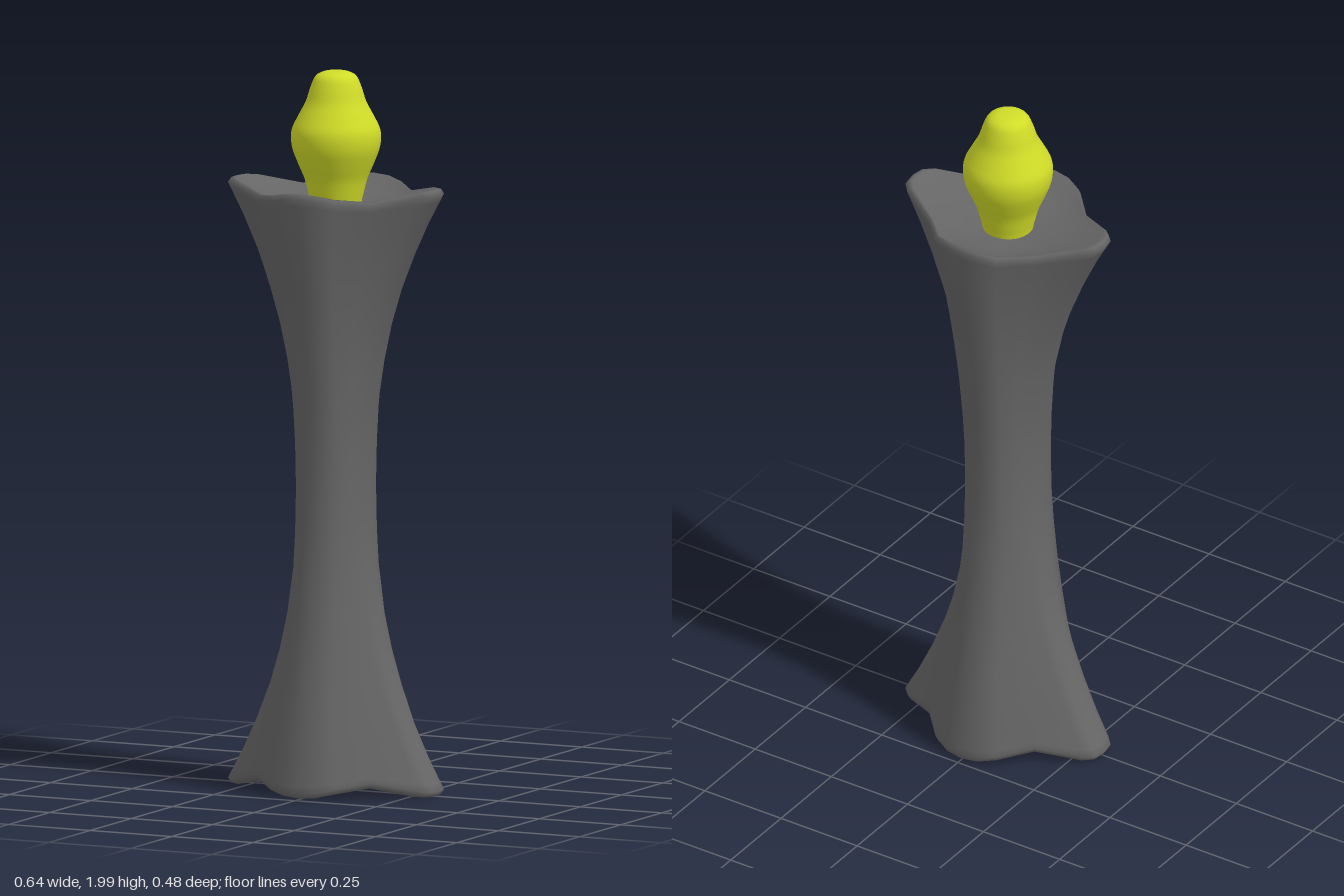
import * as THREE from 'three';

// quarter outlines [x, z] from side lobe to front lobe, at the flared ends and at the waist
const END = [[0.32, 0], [0.314, 0.035], [0.29, 0.062], [0.175, 0.13], [0.1, 0.21], [0.05, 0.233], [0, 0.24]];
const WAIST = [[0.092, 0], [0.091, 0.03], [0.088, 0.055], [0.08, 0.085], [0.06, 0.122], [0.03, 0.138], [0, 0.141]];
const DIP = [0, 0, 0.003, 0.028, 0.016, 0.006, 0.003]; // rim sag between the lobes

// half of the column, waist to bowl centre:
// [height above waist, x flare, z flare, inward scale, share of rim sag]
const HALF = [
  [0, 0, 0, 1, 0], [0.12, 0.02, 0.03, 1, 0], [0.22, 0.06, 0.11, 1, 0], [0.35, 0.16, 0.26, 1, 0],
  [0.45, 0.27, 0.41, 1, 0], [0.55, 0.42, 0.57, 1, 0], [0.65, 0.6, 0.75, 1, 0.1], [0.74, 0.79, 0.89, 1, 0.4],
  [0.805, 0.95, 0.97, 1, 0.8], [0.825, 1, 1, 1, 1], [0.838, 0.98, 0.98, 0.985, 1], [0.84, 0.95, 0.96, 0.965, 1],
  [0.828, 0.93, 0.93, 0.92, 1], [0.805, 0.85, 0.9, 0.7, 0.5], [0.785, 0.8, 0.8, 0.4, 0.1], [0.78, 0.8, 0.8, 0.001, 0],
];

// mirror a quarter list into a full ring of 24 [quarter index, x sign, z sign]
function ringOrder() {
  const ring = [];
  for (let i = 0; i < 6; i++) ring.push([i, 1, 1]);
  for (let i = 6; i > 0; i--) ring.push([i, -1, 1]);
  for (let i = 0; i < 6; i++) ring.push([i, -1, -1]);
  for (let i = 6; i > 0; i--) ring.push([i, 1, -1]);
  return ring;
}

function columnGeometry() {
  const ring = ringOrder(), n = ring.length, mid = 0.85;
  const rows = [
    ...HALF.slice(1).reverse().map((r) => [-1, r]),
    ...HALF.map((r) => [1, r]),
  ];
  const pos = [], index = [];
  for (const [dir, [h, fx, fz, s, sag]] of rows) {
    for (const [i, sx, sz] of ring) {
      const x = THREE.MathUtils.lerp(WAIST[i][0], END[i][0], fx) * s * sx;
      const z = THREE.MathUtils.lerp(WAIST[i][1], END[i][1], fz) * s * sz;
      pos.push(x, mid + dir * (h - DIP[i] * sag), z);
    }
  }
  for (let r = 0; r < rows.length - 1; r++) {
    for (let j = 0; j < n; j++) {
      const a = r * n + j, b = r * n + (j + 1) % n;
      index.push(a, a + n, b, b, a + n, b + n);
    }
  }
  const geo = new THREE.BufferGeometry();
  geo.setAttribute('position', new THREE.Float32BufferAttribute(pos, 3));
  geo.setIndex(index);
  geo.computeVertexNormals();
  return geo;
}

export function createModel() {
  const group = new THREE.Group();

  // four-lobed flared column, hollowed at both ends
  const column = new THREE.Mesh(columnGeometry(), new THREE.MeshStandardMaterial({ color: 0x666666 }));
  column.name = 'column';
  group.add(column);

  // bulb standing in the upper bowl
  const profile = new THREE.SplineCurve([
    [0, 1.61], [0.06, 1.615], [0.073, 1.65], [0.086, 1.7], [0.105, 1.745], [0.121, 1.79], [0.122, 1.835],
    [0.104, 1.875], [0.083, 1.915], [0.07, 1.955], [0.056, 1.985], [0.03, 1.998], [0, 2],
  ].map(([x, y]) => new THREE.Vector2(x, y)));
  const points = profile.getPoints(48);
  points.forEach((p) => { p.x = Math.max(p.x, 0); });
  const bulb = new THREE.Mesh(
    new THREE.LatheGeometry(points, 40),
    new THREE.MeshStandardMaterial({ color: 0xd0dc28 }),
  );
  bulb.name = 'bulb';
  group.add(bulb);

  return group;
}
